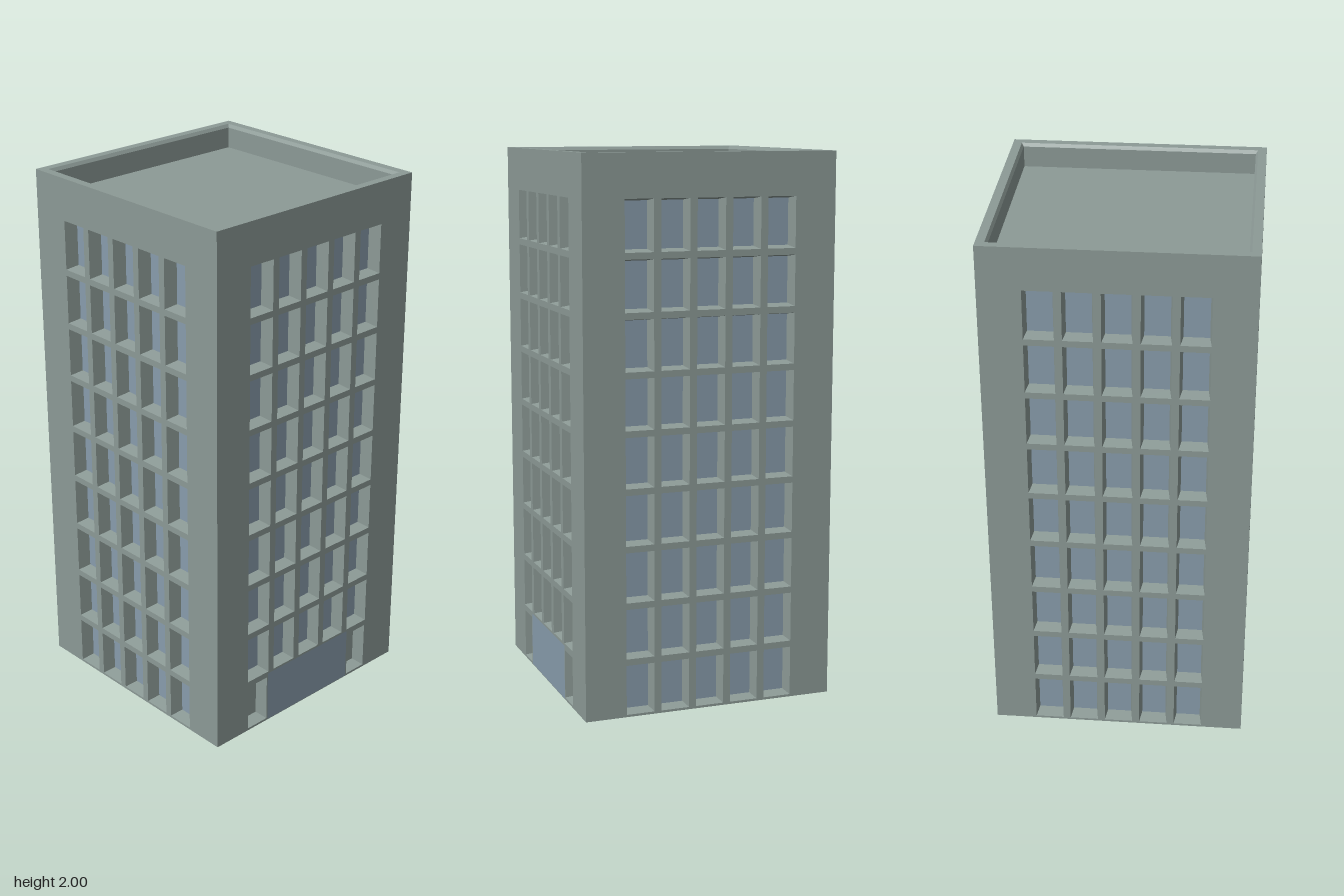
import * as THREE from 'three';
import { mergeGeometries } from 'three/addons/utils/BufferGeometryUtils.js';

const HALF = 0.472, HEIGHT = 2, DEPTH = 0.05, INSET = 0.008;
const COLS = 5, ROWS = 9, PITCH_X = 0.133, PITCH_Y = 0.2065;
const WIN_W = 0.106, WIN_H = 0.183;
const DOOR_W = 0.215, DOOR_H = 0.207;

const wallMat = new THREE.MeshStandardMaterial({ color: 0x8c9a96, side: THREE.DoubleSide });
const glassMat = new THREE.MeshStandardMaterial({ color: 0x889cac, side: THREE.DoubleSide });

// Flat-shaded bands joining nested rectangles, each given as [halfWidth, halfHeight, z]
function rectBands(rings) {
  const corners = rings.map(([w, h, z]) => [[-w, -h, z], [w, -h, z], [w, h, z], [-w, h, z]]);
  const pos = [];
  for (let r = 0; r < rings.length - 1; r++) {
    for (let i = 0; i < 4; i++) {
      const j = (i + 1) % 4;
      const a = corners[r][i], b = corners[r][j], c = corners[r + 1][j], d = corners[r + 1][i];
      pos.push(...a, ...b, ...c, ...a, ...c, ...d);
    }
  }
  const g = new THREE.BufferGeometry();
  g.setAttribute('position', new THREE.Float32BufferAttribute(pos, 3));
  g.computeVertexNormals();
  return g;
}

function rectPath(x, y, w, h) {
  const p = new THREE.Path();
  p.moveTo(x - w / 2, y - h / 2);
  p.lineTo(x - w / 2, y + h / 2);
  p.lineTo(x + w / 2, y + h / 2);
  p.lineTo(x + w / 2, y - h / 2);
  p.closePath();
  return p;
}

function mesh(name, geometry, material) {
  const m = new THREE.Mesh(geometry, material);
  m.name = name;
  return m;
}

// One facade in the z = HALF plane: pierced sheet, sloped reveals and recessed panes
function facade(name, hasDoor) {
  const group = new THREE.Group();
  group.name = name;
  const wall = new THREE.Shape();
  wall.moveTo(-HALF, 0);
  wall.lineTo(HALF, 0);
  wall.lineTo(HALF, HEIGHT);
  wall.lineTo(-HALF, HEIGHT);
  wall.closePath();
  const reveals = [], panes = [], blindPanels = [];

  for (let row = 0; row < ROWS; row++) {
    for (let col = 0; col < COLS; col++) {
      const side = col - (COLS - 1) / 2;
      const ground = hasDoor && row === 0;
      if (ground && Math.abs(side) < 2) continue;
      const x = side * PITCH_X, y = 0.1 + row * PITCH_Y;
      // the recesses beside the door stop at its edge
      const w = ground ? 0.096 : WIN_W;
      const cx = ground ? Math.sign(side) * 0.268 : x;
      wall.holes.push(rectPath(cx, y, w, WIN_H));
      const inner = [w / 2 - INSET, WIN_H / 2 - INSET];
      reveals.push(rectBands([[w / 2, WIN_H / 2, 0], [...inner, -DEPTH]]).translate(cx, y, 0));
      const pane = new THREE.PlaneGeometry(inner[0] * 2, inner[1] * 2).translate(cx, y, -DEPTH);
      (ground ? blindPanels : panes).push(pane);
    }
  }

  // Wide glazed entrance, flush with the wall
  if (hasDoor) {
    const h = DOOR_H - 0.002, y = 0.002 + h / 2;
    wall.holes.push(rectPath(0, y, DOOR_W * 2, h));
    group.add(mesh('entranceGlass', new THREE.PlaneGeometry(DOOR_W * 2, h).translate(0, y, 0), glassMat));
    group.add(mesh('entranceSidePanels', mergeGeometries(blindPanels), wallMat));
  }
  group.add(mesh('wall', new THREE.ShapeGeometry(wall), wallMat));
  group.add(mesh('windowReveals', mergeGeometries(reveals), wallMat));
  group.add(mesh('windowPanes', mergeGeometries(panes), glassMat));
  group.children.forEach((m) => { m.position.z = HALF; });
  return group;
}

export function createModel() {
  const model = new THREE.Group();
  model.name = 'officeTower';

  ['frontFacade', 'leftFacade', 'backFacade', 'rightFacade'].forEach((name, i) => {
    const f = facade(name, i === 0);
    f.rotation.y = i * Math.PI / 2;
    model.add(f);
  });

  // Parapet rim with a chamfered inner lip
  const rimIn = 0.44, lip = 0.432, roofY = 1.91;
  const parapet = rectBands([
    [HALF, HALF, HEIGHT], [rimIn, rimIn, HEIGHT],
    [lip, lip, HEIGHT - 0.012], [lip, lip, roofY],
  ]).rotateX(-Math.PI / 2);
  model.add(mesh('parapet', parapet, wallMat));

  // Sunken flat roof
  const roof = new THREE.PlaneGeometry(lip * 2, lip * 2).rotateX(-Math.PI / 2).translate(0, roofY, 0);
  model.add(mesh('roof', roof, wallMat));

  return model;
}
